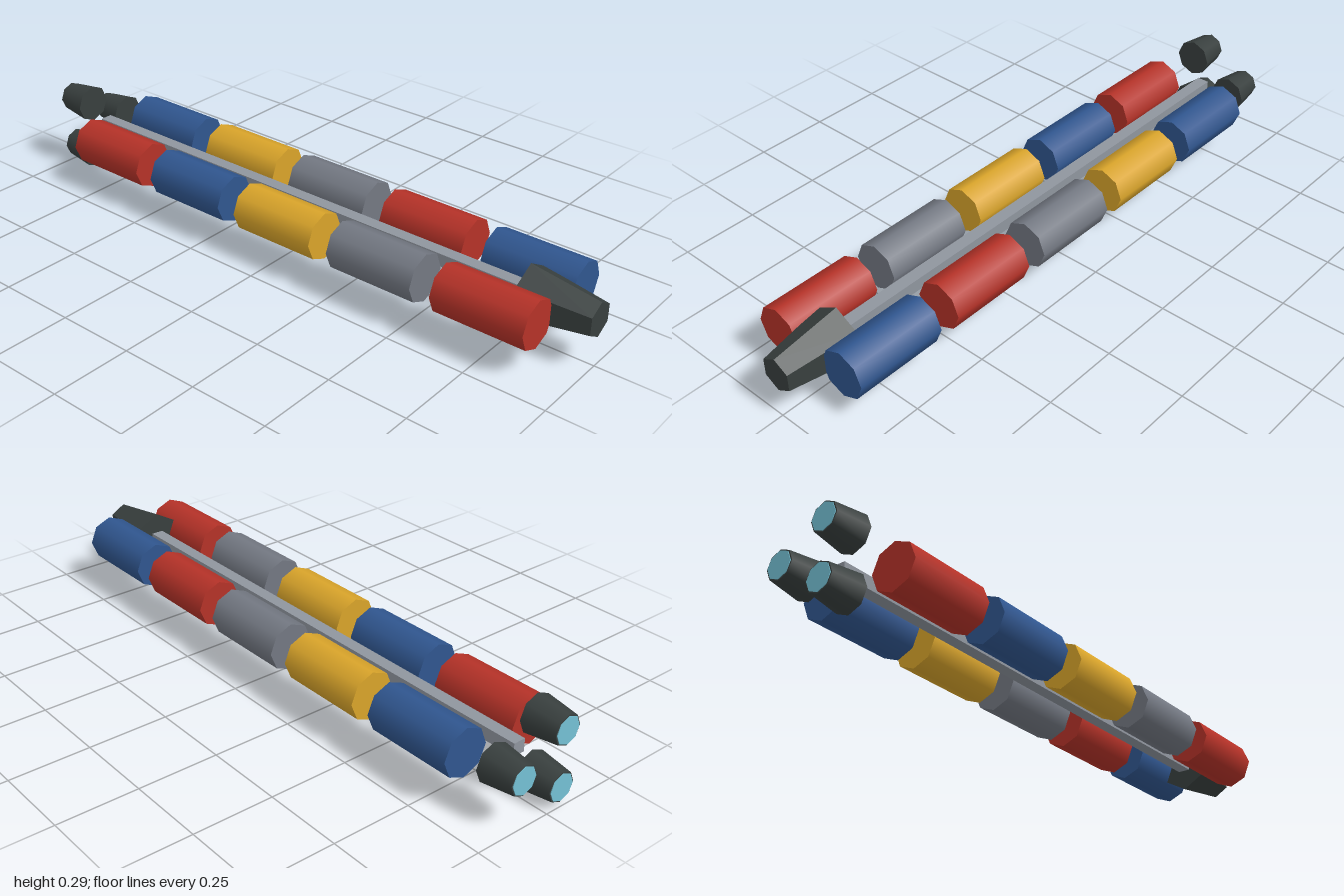
import * as THREE from 'three';

const AXIS_Y = 0.147;

function material(name, color) {
  const m = new THREE.MeshStandardMaterial({ color });
  m.name = name;
  return m;
}

// Cylinder or frustum lying along z, placed between two z values
function prism(frontRadius, backRadius, zBack, zFront, sides) {
  const g = new THREE.CylinderGeometry(frontRadius, backRadius, zFront - zBack, sides);
  g.rotateX(Math.PI / 2);
  g.translate(0, 0, (zBack + zFront) / 2);
  return g;
}

function faceted(geometry) {
  const g = geometry.toNonIndexed();
  g.computeVertexNormals();
  return g;
}

export function createModel() {
  const model = new THREE.Group();
  model.name = 'cargoShip';

  const red = material('red', 0xb53228);
  const blue = material('blue', 0x30568f);
  const yellow = material('yellow', 0xd9a42a);
  const grey = material('grey', 0x737882);
  const spineGrey = material('spine grey', 0x8f959e);
  const dark = material('dark hull', 0x383f3e);
  const glow = material('engine glow', 0x74c0d4);

  const add = (name, geometry, mat, x = 0, y = AXIS_Y) => {
    const mesh = new THREE.Mesh(geometry, mat);
    mesh.name = name;
    mesh.position.set(x, y, 0);
    model.add(mesh);
  };

  // Central spine
  const spine = new THREE.BoxGeometry(0.04, 0.04, 1.7);
  spine.translate(0, 0, -0.04);
  add('spine', spine, spineGrey);

  // Tapered hexagonal cockpit at the front
  add('cockpit', faceted(prism(0.054, 0.088, 0.785, 1, 6)), dark);

  // Two rows of cargo pods, listed from back to front
  const rows = [
    { name: 'leftPod', x: 0.125, colors: [blue, yellow, grey, red, blue] },
    { name: 'rightPod', x: -0.125, colors: [red, blue, yellow, grey, red] },
  ];
  for (const row of rows) {
    row.colors.forEach((mat, i) => {
      const z = 0.034 + (i - 2) * 0.355;
      add(row.name + (i + 1), prism(0.075, 0.075, z - 0.145, z + 0.145, 8), mat, row.x);
    });
  }

  // Three engines in a ring at the back, each with a glowing disc
  for (let i = 0; i < 3; i++) {
    const a = (i * Math.PI * 2) / 3;
    const x = 0.1 * Math.cos(a);
    const y = AXIS_Y + 0.1 * Math.sin(a);
    add('engine' + (i + 1), prism(0.06, 0.046, -0.998, -0.892, 8), dark, x, y);
    add('engineGlow' + (i + 1), prism(0.042, 0.042, -1, -0.995, 8), glow, x, y);
  }

  return model;
}
